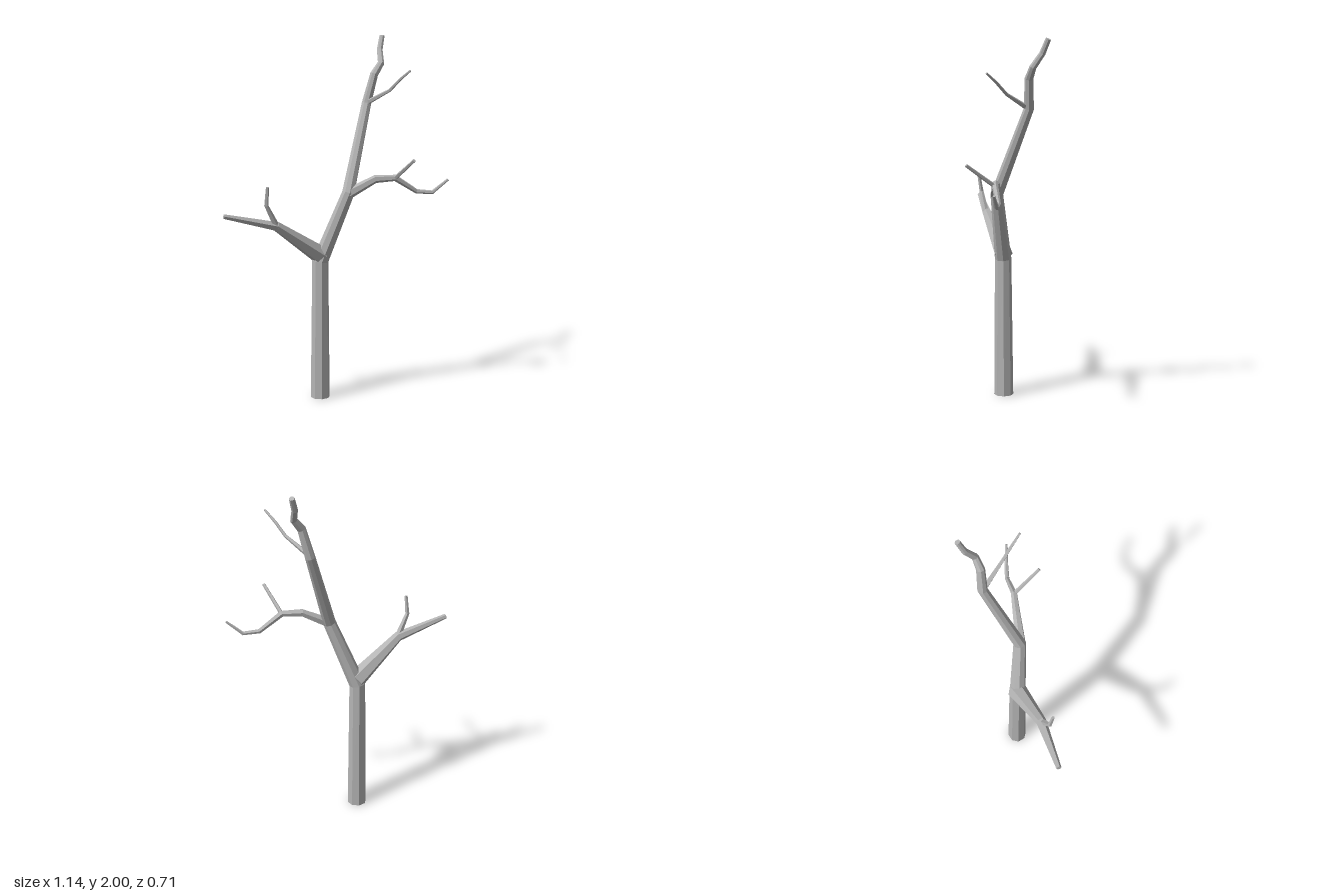
import * as THREE from 'three';

// Closed faceted limb swept along points [x, y, z, radius], mitred at each bend
function limbGeometry(points, sides) {
  const centres = points.map(([x, y, z]) => new THREE.Vector3(x, y, z));
  const last = centres.length - 1;
  const tangents = centres.map((c, i) => {
    const t = new THREE.Vector3();
    if (i > 0) t.add(c.clone().sub(centres[i - 1]).normalize());
    if (i < last) t.add(centres[i + 1].clone().sub(c).normalize());
    return t.normalize();
  });
  const positions = [];
  const index = [];
  const side = new THREE.Vector3(0, 0, 1);
  side.addScaledVector(tangents[0], -side.dot(tangents[0])).normalize();

  centres.forEach((c, i) => {
    // Carry the ring frame along without twisting
    if (i > 0) {
      side.applyQuaternion(new THREE.Quaternion().setFromUnitVectors(tangents[i - 1], tangents[i]));
    }
    const other = tangents[i].clone().cross(side);
    for (let j = 0; j < sides; j++) {
      const a = ((j + 0.5) / sides) * Math.PI * 2;
      const p = c.clone()
        .addScaledVector(side, Math.cos(a) * points[i][3])
        .addScaledVector(other, Math.sin(a) * points[i][3]);
      positions.push(p.x, p.y, p.z);
    }
  });
  for (let i = 0; i < last; i++) {
    for (let j = 0; j < sides; j++) {
      const a = i * sides + j;
      const b = i * sides + ((j + 1) % sides);
      index.push(a, b, b + sides, a, b + sides, a + sides);
    }
  }
  // End caps
  const top = last * sides;
  for (let j = 1; j < sides - 1; j++) {
    index.push(0, j + 1, j, top, top + j, top + j + 1);
  }
  const geometry = new THREE.BufferGeometry();
  geometry.setAttribute('position', new THREE.Float32BufferAttribute(positions, 3));
  geometry.setIndex(index);
  const flat = geometry.toNonIndexed();
  flat.computeVertexNormals();
  return flat;
}

export function createModel() {
  const group = new THREE.Group();
  const bark = new THREE.MeshStandardMaterial({ color: 0xb4b4b4 });
  bark.name = 'grey bark';
  bark.flatShading = true;

  const addLimb = (name, sides, points) => {
    const mesh = new THREE.Mesh(limbGeometry(points, sides), bark);
    mesh.name = name;
    group.add(mesh);
  };

  // Trunk leaning right and back towards its tip
  addLimb('trunk', 8, [
    [-0.11, 0, 0.015, 0.054],
    [-0.107, 0.78, 0.018, 0.046],
    [0.045, 1.16, -0.005, 0.035],
    [0.11, 1.63, -0.213, 0.027],
    [0.15, 1.79, -0.228, 0.023],
    [0.183, 1.85, -0.262, 0.019],
    [0.168, 1.92, -0.308, 0.017],
    [0.175, 1.995, -0.343, 0.015],
  ]);

  // Low branch reaching forward, with an upright twig
  addLimb('lowBranch', 6, [
    [-0.1, 0.808, 0.012, 0.054],
    [-0.31, 1.0, 0.197, 0.028],
    [-0.56, 1.072, 0.346, 0.014],
  ]);
  addLimb('lowTwig', 5, [
    [-0.305, 0.99, 0.2, 0.019],
    [-0.353, 1.12, 0.25, 0.012],
    [-0.342, 1.222, 0.263, 0.009],
  ]);

  // Middle branch with a drooping end and a straight twig
  addLimb('middleBranch', 6, [
    [0.045, 1.155, 0.0, 0.03],
    [0.185, 1.232, -0.055, 0.022],
    [0.29, 1.236, -0.093, 0.018],
    [0.4, 1.155, -0.157, 0.013],
    [0.485, 1.148, -0.182, 0.011],
    [0.57, 1.22, -0.2, 0.007],
  ]);
  addLimb('middleTwig', 5, [
    [0.285, 1.23, -0.095, 0.012],
    [0.408, 1.35, 0.02, 0.009],
  ]);

  // Thin twig near the top
  addLimb('upperTwig', 5, [
    [0.105, 1.63, -0.21, 0.015],
    [0.25, 1.71, -0.143, 0.009],
    [0.31, 1.772, -0.11, 0.008],
    [0.37, 1.822, -0.078, 0.006],
  ]);

  return group;
}
